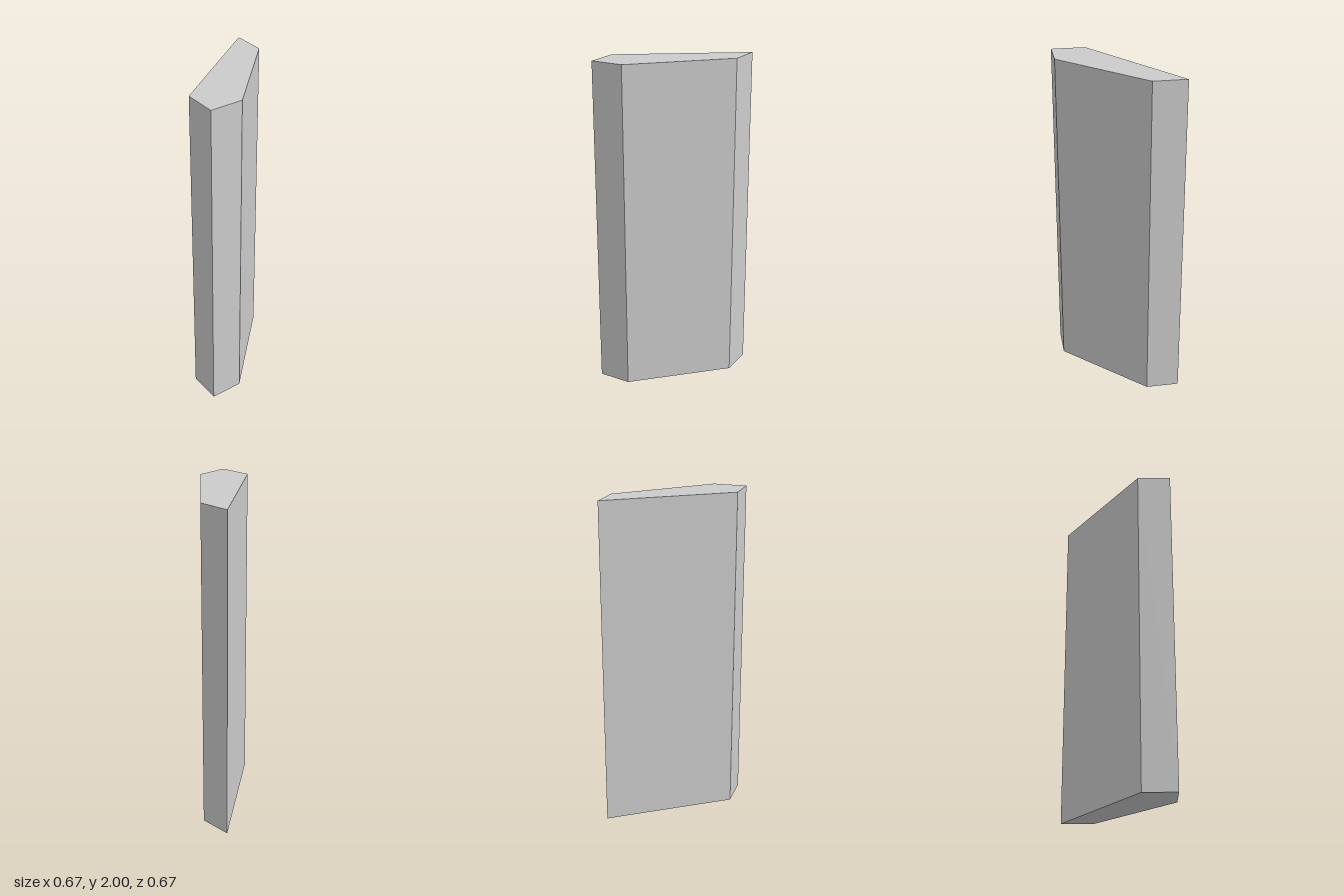
import * as THREE from 'three';

export function createModel() {
  const group = new THREE.Group();
  group.name = 'wedgePillar';

  // Five-sided footprint as [x, z] corners
  const footprint = [
    [-0.333, 0.333],
    [-0.135, 0.333],
    [0.333, -0.135],
    [0.333, -0.333],
    [-0.333, 0.133],
  ];
  const shape = new THREE.Shape(footprint.map(([x, z]) => new THREE.Vector2(x, -z)));

  // Extrude the footprint, then stand it upright on the ground
  const geometry = new THREE.ExtrudeGeometry(shape, { depth: 2, bevelEnabled: false });
  geometry.rotateX(-Math.PI / 2);

  const pillar = new THREE.Mesh(
    geometry,
    new THREE.MeshStandardMaterial({ color: 0xcccccc, flatShading: true })
  );
  pillar.name = 'pillar';
  group.add(pillar);
  return group;
}
